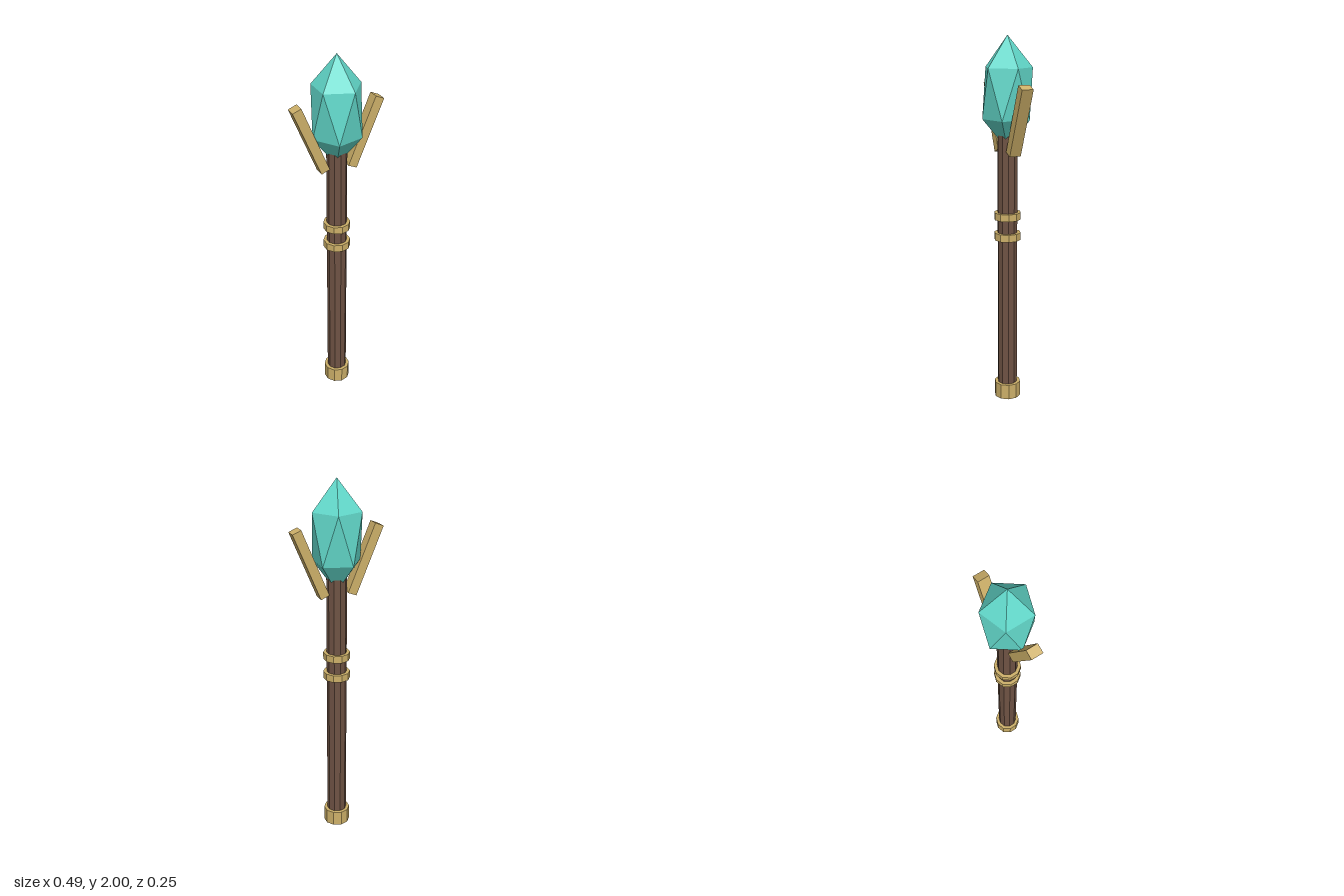
import * as THREE from 'three';
import { ConvexGeometry } from 'three/addons/geometries/ConvexGeometry.js';

const material = (color) => new THREE.MeshStandardMaterial({ color, flatShading: true });

export function createModel() {
  const model = new THREE.Group();
  model.name = 'crystalStaff';
  const wood = material(0x6f5344);
  const gold = material(0xcdb069);
  const crystalTeal = material(0x62d8ca);

  function add(name, geometry, mat, x = 0, y = 0) {
    const mesh = new THREE.Mesh(geometry, mat);
    mesh.name = name;
    mesh.position.set(x, y, 0);
    model.add(mesh);
    return mesh;
  }

  // Ten-sided upright cylinder between two heights
  const post = (name, radius, y0, y1, mat) =>
    add(name, new THREE.CylinderGeometry(radius, radius, y1 - y0, 10), mat, 0, (y0 + y1) / 2);

  post('shaft', 0.054, 0.01, 1.49, wood);
  post('footCap', 0.0725, 0, 0.085, gold);
  post('lowerGripRing', 0.0725, 0.92, 0.96, gold);
  post('upperGripRing', 0.0725, 1.033, 1.072, gold);

  // Crystal: stretched icosahedron, two twisted rings of five between two tips
  const points = [new THREE.Vector3(0, 0.295, 0), new THREE.Vector3(0, -0.295, 0)];
  for (let i = 0; i < 5; i++) {
    const a = (i / 5) * Math.PI * 2;
    const x = 0.132 * Math.cos(a), z = 0.132 * Math.sin(a);
    points.push(new THREE.Vector3(x, 0.132, z), new THREE.Vector3(-x, -0.132, -z));
  }
  add('crystal', new ConvexGeometry(points), crystalTeal, 0, 1.705);

  // Prongs leaning outward on both sides
  for (const side of [1, -1]) {
    const prong = add(side > 0 ? 'leftProng' : 'rightProng',
      new THREE.BoxGeometry(0.05, 0.385, 0.0625), gold, side * 0.149, 1.575);
    prong.rotation.z = -side * 0.394;
  }

  return model;
}
